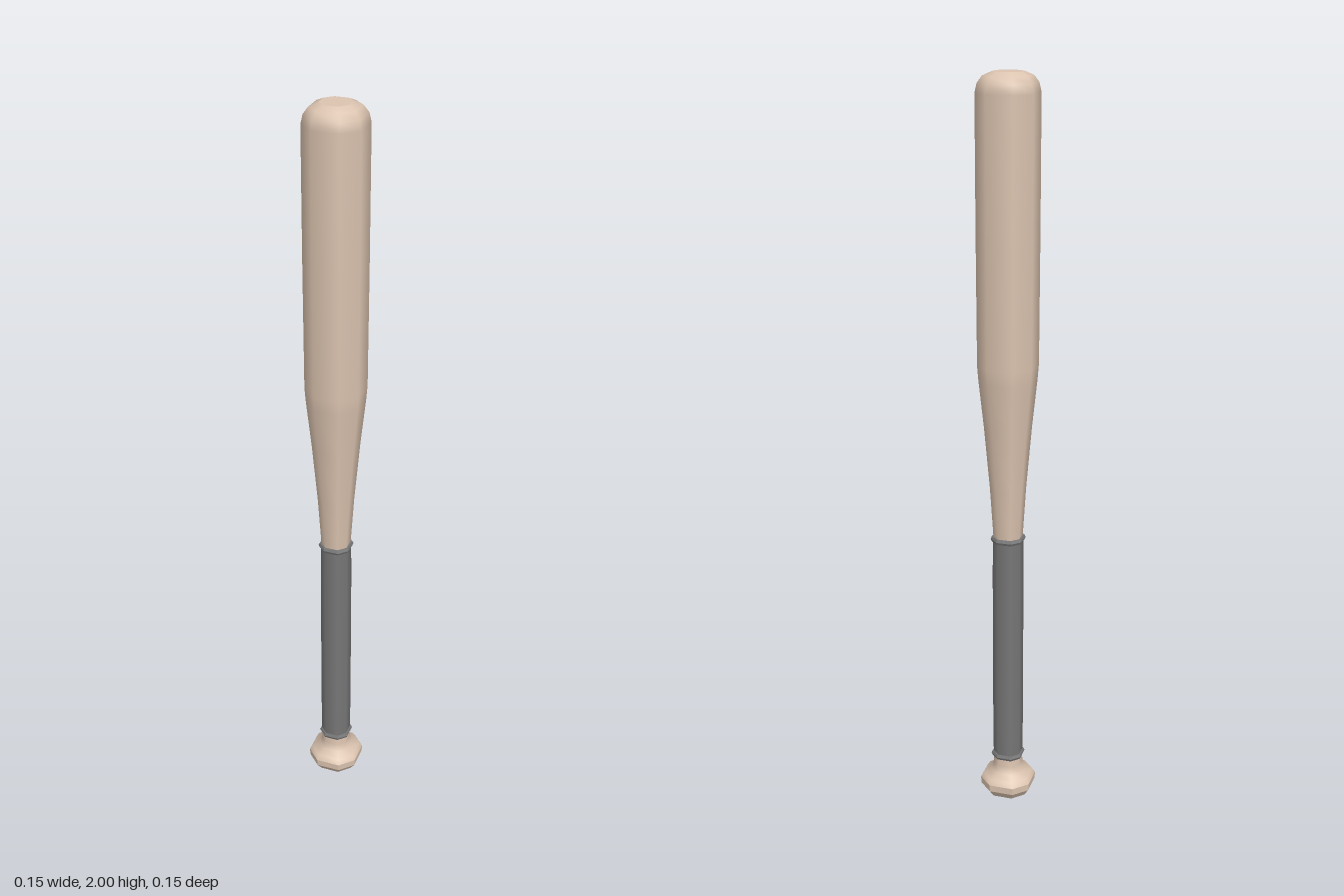
import * as THREE from 'three';

const WOOD = 0xdcc4b0;
const GRIP = 0x777777;
const CORNER = 0.355; // half length of an axis-facing side, relative to its distance

// Eight-sided turned part; profile is [distance to flat side, height], bottom to top
function turned(name, color, profile, flatShading = false) {
  const points = profile.map(([r, y]) => new THREE.Vector2(r, y));
  const geometry = new THREE.LatheGeometry(points, 8, Math.PI / 8);
  const pos = geometry.attributes.position;
  const widen = 1 / Math.cos(Math.PI / 8);
  for (let i = 0; i < pos.count; i++) {
    const x = pos.getX(i) * widen;
    const z = pos.getZ(i) * widen;
    const far = Math.max(Math.abs(x), Math.abs(z));
    const xIsFar = Math.abs(x) > Math.abs(z);
    pos.setX(i, Math.sign(x) * far * (xIsFar ? 1 : CORNER));
    pos.setZ(i, Math.sign(z) * far * (xIsFar ? CORNER : 1));
  }
  const mesh = new THREE.Mesh(geometry, new THREE.MeshStandardMaterial({ color, flatShading }));
  mesh.name = name;
  return mesh;
}

export function createModel() {
  const bat = new THREE.Group();
  bat.name = 'bat';

  // Knob: faceted base, smooth shoulder running into the neck
  bat.add(turned('knobBase', WOOD, [[0, 0], [0.058, 0], [0.073, 0.022], [0.074, 0.042]], true));
  bat.add(turned('knobShoulder', WOOD, [[0.074, 0.042], [0.066, 0.055], [0.045, 0.068], [0.039, 0.09], [0.037, 0.125]]));

  // Grip sleeve with a slightly raised rim at each end
  bat.add(turned('grip', GRIP, [[0.039, 0.122], [0.04, 0.24], [0.04, 0.68], [0.039, 0.782]]));
  for (const [name, y] of [['lowerGripRim', 0.112], ['upperGripRim', 0.778]]) {
    bat.add(turned(name, GRIP, [[0.034, y], [0.042, y], [0.045, y + 0.007], [0.042, y + 0.014], [0.034, y + 0.014]], true));
  }

  // Taper and barrel, rounded over at the top
  bat.add(turned('barrel', WOOD, [
    [0.037, 0.78], [0.046, 0.93], [0.06, 1.1], [0.073, 1.23], [0.076, 1.27],
    [0.077, 1.6], [0.077, 1.95], [0.072, 1.973], [0.06, 1.99], [0.038, 2],
  ]));
  bat.add(turned('barrelEnd', WOOD, [[0.038, 2], [0, 2]], true));

  return bat;
}
